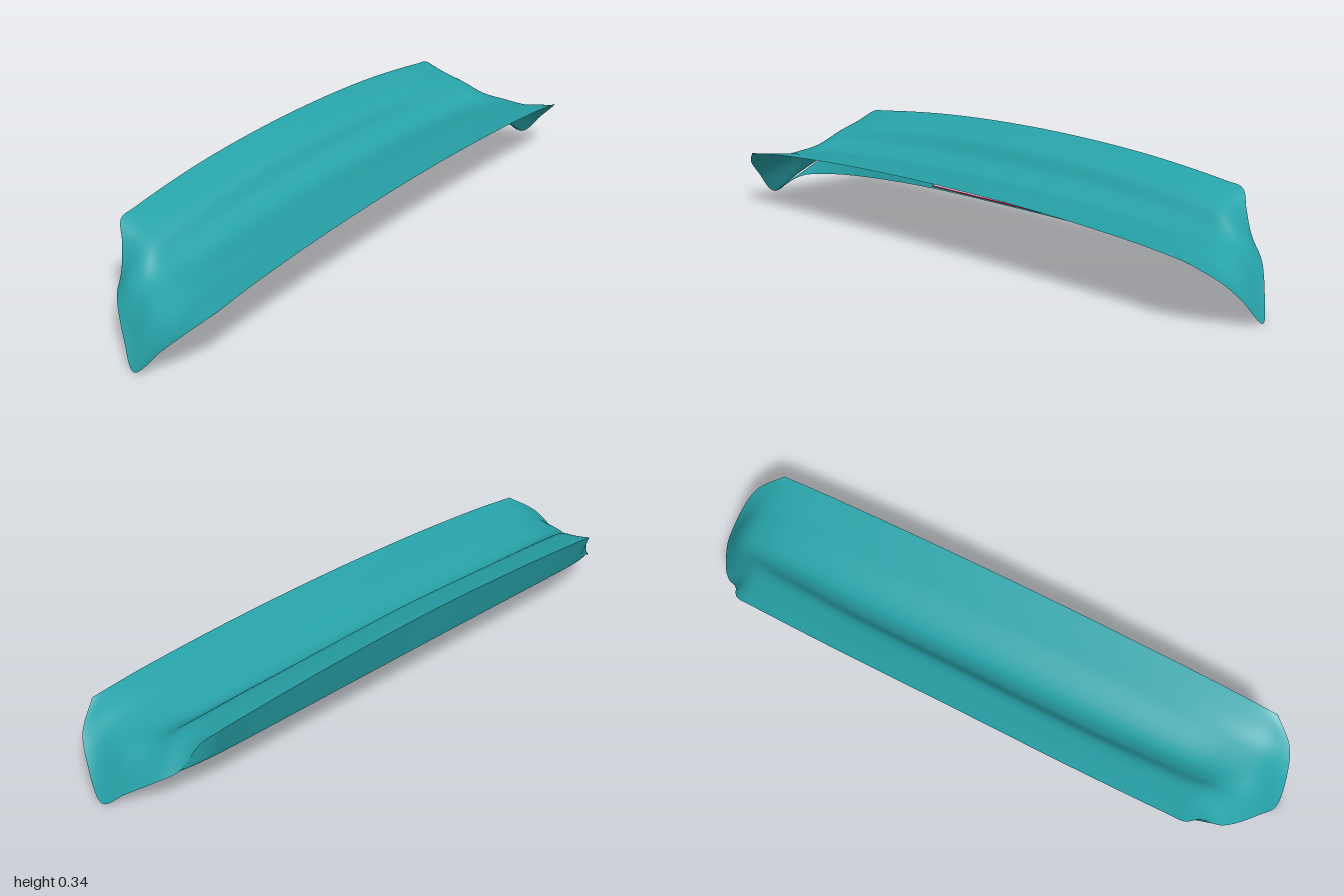
import * as THREE from 'three';

const V = (x, y, z) => new THREE.Vector3(x, y, z);

// A half row (centre to tip) mirrored into a full curve from -x to +x
function fullRow(half) {
  const right = half.map(p => V(...p));
  const left = right.slice(1).reverse().map(p => V(-p.x, p.y, p.z));
  return new THREE.CatmullRomCurve3([...left, ...right], false, 'centripetal');
}

// Smooth skin lofted through rows, front to back
function skin(rows, nu, nv) {
  const curves = rows.map(fullRow);
  const pos = [], idx = [];
  for (let j = 0; j <= nu; j++) {
    const across = new THREE.CatmullRomCurve3(curves.map(c => c.getPoint(j / nu)), false, 'centripetal');
    for (let i = 0; i <= nv; i++) pos.push(...across.getPoint(i / nv).toArray());
  }
  for (let j = 0; j < nu; j++) {
    for (let i = 0; i < nv; i++) {
      const a = j * (nv + 1) + i, b = a + nv + 1;
      idx.push(a, b, a + 1, b, b + 1, a + 1);
    }
  }
  const g = new THREE.BufferGeometry();
  g.setAttribute('position', new THREE.Float32BufferAttribute(pos, 3));
  g.setIndex(idx);
  g.computeVertexNormals();
  return g;
}

// Rows of the wing: centre, mid, outer, shoulder, flank, outline
const frontEdge = [[0, .245, .24], [.4, .237, .24], [.7, .219, .24], [.8, .209, .24], [.84, .204, .24], [.875, .2, .24]];
const roofFront = [[0, .236, .17], [.4, .228, .17], [.7, .209, .17], [.82, .195, .175], [.88, .18, .18], [.95, .145, .185]];
const roofMid = [[0, .228, .1], [.4, .22, .1], [.7, .199, .1], [.83, .18, .11], [.9, .155, .12], [.98, .09, .13]];
const valley = [[0, .213, -.03], [.4, .206, -.025], [.7, .19, -.01], [.83, .18, .01], [.91, .145, .03], [1, 0, .04]];
const rise = [[0, .242, -.08], [.4, .232, -.075], [.7, .212, -.055], [.82, .195, -.04], [.89, .15, -.035], [.96, .055, -.03]];
const lipStart = [[0, .295, -.12], [.4, .282, -.117], [.7, .254, -.1], [.79, .232, -.09], [.85, .185, -.1], [.9, .117, -.11]];
const lipMid = [[0, .318, -.18], [.4, .305, -.177], [.7, .277, -.165], [.77, .258, -.155], [.82, .205, -.145], [.865, .14, -.14]];
const trailing = [[0, .335, -.24], [.4, .322, -.237], [.7, .293, -.225], [.76, .283, -.22], [.8, .235, -.18], [.84, .155, -.15]];
const lipBase = [[0, .2, -.2], [.4, .196, -.198], [.7, .184, -.187], [.76, .178, -.18], [.8, .165, -.165], [.84, .152, -.15]];
const lipUnder = [[0, .187, -.196], [.4, .184, -.194], [.7, .172, -.182], [.76, .166, -.174], [.8, .155, -.16], [.845, .147, -.145]];
const panelTop = [[0, .182, -.09], [.4, .178, -.09], [.7, .155, -.08], [.8, .14, -.075], [.86, .122, -.08], [.9, .113, -.1]];
const panelBottom = [[0, .113, -.07], [.4, .108, -.07], [.7, .09, -.06], [.82, .077, -.045], [.93, .055, -.02], [1, 0, .04]];

// Lens outline: flat bottom, sloped ends, rounded top corners
function lensShape(k) {
  const w = .33 - k, b = -.034 + k, t = .03 - k;
  const s = new THREE.Shape();
  s.moveTo(-w, b);
  s.lineTo(w, b);
  s.quadraticCurveTo(w - .005, t - .01, w - .07, t);
  s.quadraticCurveTo(0, t + .007, -w + .07, t);
  s.quadraticCurveTo(-w + .005, t - .01, -w, b);
  return s;
}

export function createModel() {
  const paint = new THREE.MeshStandardMaterial({ color: 0x27a3a9, side: THREE.DoubleSide });
  paint.name = 'teal paint';
  const red = new THREE.MeshStandardMaterial({ color: 0x9c0b3a });
  red.name = 'lens red';
  const pale = new THREE.MeshStandardMaterial({ color: 0xe6dfe6 });
  pale.name = 'reflector white';

  const model = new THREE.Group();
  model.name = 'roofSpoiler';
  const add = (parent, name, geometry, material) => {
    const m = new THREE.Mesh(geometry, material);
    m.name = name;
    parent.add(m);
    return m;
  };

  // Painted shell, open at the front
  add(model, 'upperSkin', skin([frontEdge, roofFront, roofMid, valley, rise, lipStart, lipMid, trailing], 100, 42), paint);
  add(model, 'lipBack', skin([trailing, lipBase], 100, 4), paint);
  add(model, 'lipLowerEdge', skin([lipBase, lipUnder], 100, 1), paint);
  add(model, 'underside', skin([lipUnder, panelTop], 100, 4), paint);
  add(model, 'lightPanel', skin([panelTop, panelBottom], 100, 4), paint);

  // Brake light set into the panel, red outside and white inside
  const light = new THREE.Group();
  light.name = 'brakeLight';
  light.position.set(0, .149, -.0805);
  light.rotation.x = -Math.atan2(.02, .069);
  model.add(light);
  const lens = new THREE.ExtrudeGeometry(lensShape(0), { depth: .009, bevelEnabled: false, curveSegments: 10 });
  add(light, 'lens', lens, red).position.z = -.0045;
  add(light, 'reflector', new THREE.ShapeGeometry(lensShape(.005), 10), pale).position.z = .006;

  return model;
}
